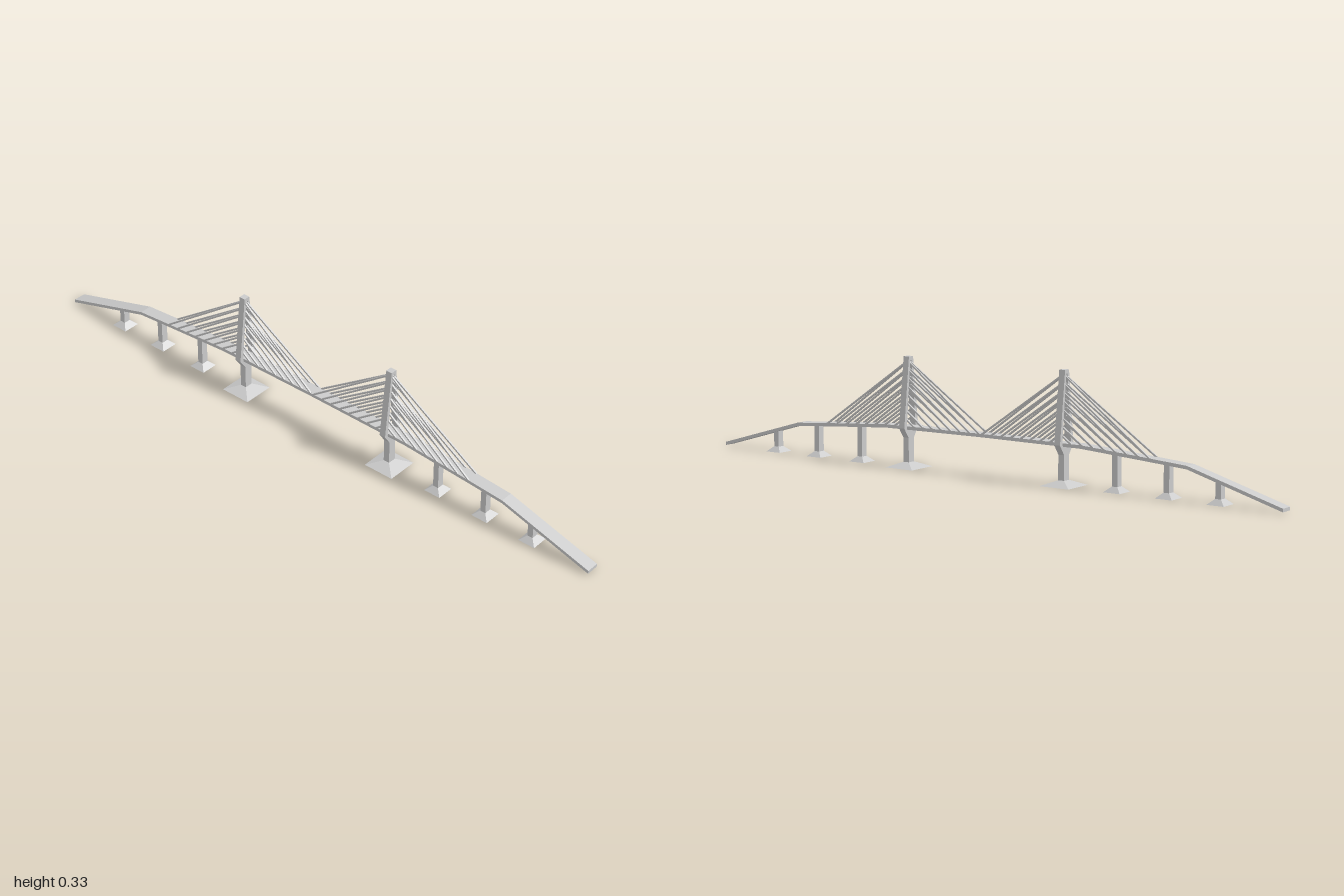
import * as THREE from 'three';

const material = new THREE.MeshStandardMaterial({ color: 0xcccccc, flatShading: true });

const TOWER_Z = 0.28;
const DECK_HALF = 0.02;
const DECK_THICK = 0.01;
// Road surface: [distance from middle, height]
const ROAD = [[0, 0.127], [0.35, 0.125], [0.58, 0.109], [0.70, 0.1], [1, 0.013]];

function roadY(z) {
  const d = Math.abs(z);
  for (let i = 1; i < ROAD.length; i++) {
    const [d0, y0] = ROAD[i - 1], [d1, y1] = ROAD[i];
    if (d <= d1) return y0 + (y1 - y0) * (d - d0) / (d1 - d0);
  }
  return ROAD.at(-1)[1];
}

function add(parent, name, geometry, x = 0, y = 0, z = 0) {
  const mesh = new THREE.Mesh(geometry, material);
  mesh.name = name;
  mesh.position.set(x, y, z);
  parent.add(mesh);
  return mesh;
}

// Box standing on y = 0 whose top face is scaled to its own size
function taperedBox(w, d, h, topW, topD) {
  const g = new THREE.BoxGeometry(w, h, d).translate(0, h / 2, 0);
  const p = g.attributes.position;
  for (let i = 0; i < p.count; i++) {
    if (p.getY(i) > h / 2) p.setXYZ(i, Math.sign(p.getX(i)) * topW / 2, h, Math.sign(p.getZ(i)) * topD / 2);
  }
  g.computeVertexNormals();
  return g;
}

// Square bar between two points
function bar(parent, name, a, b, size) {
  const mesh = add(parent, name, new THREE.BoxGeometry(size, size, a.distanceTo(b)));
  mesh.position.copy(a).lerp(b, 0.5);
  mesh.lookAt(b);
}

function createDeck() {
  const top = [...ROAD.slice(1).reverse().map(([d, y]) => [-d, y]), ...ROAD];
  const outline = [...top, ...top.slice().reverse().map(([z, y]) => [z, y - DECK_THICK])];
  const shape = new THREE.Shape(outline.map(([z, y]) => new THREE.Vector2(z, y)));
  return new THREE.ExtrudeGeometry(shape, { depth: DECK_HALF * 2, bevelEnabled: false })
    .translate(0, 0, -DECK_HALF)
    .rotateY(-Math.PI / 2);
}

// Column on a sloping footing, reaching up to height top
function createPier(name, z, w, d, footing, top) {
  const pier = new THREE.Group();
  pier.name = name;
  pier.position.z = z;
  add(pier, 'footing', taperedBox(footing, footing, 0.016, w, d));
  add(pier, 'column', new THREE.BoxGeometry(w, top - 0.01, d), 0, (top + 0.01) / 2, 0);
  return pier;
}

// A-shaped frame that narrows under the deck onto its column
function createTower() {
  const half = [[0.013, 0.09], [0.034, 0.12], [0.01, 0.334]];
  const pts = [...half, ...half.slice().reverse().map(([x, y]) => [-x, y])];
  const shape = new THREE.Shape(pts.map(([x, y]) => new THREE.Vector2(x, y)));
  const hole = [[0.022, 0.118], [-0.022, 0.118], [-0.003, 0.323], [0.003, 0.323]];
  shape.holes.push(new THREE.Path(hole.map(([x, y]) => new THREE.Vector2(x, y))));
  return new THREE.ExtrudeGeometry(shape, { depth: 0.02, bevelEnabled: false }).translate(0, 0, -0.01);
}

// Parallel stays on both sides of a tower, in both leg planes
function createCables(z) {
  const cables = new THREE.Group();
  cables.name = 'stayCables';
  const count = 8;
  for (const side of [-1, 1]) {
    for (const dir of [-1, 1]) {
      const outward = dir === Math.sign(z);
      const reach = outward ? 0.30 : 0.275;
      for (let i = 1; i <= count; i++) {
        const t = i / count;
        const y = 0.127 + 0.193 * t;
        const endZ = z + dir * reach * t;
        const onTower = new THREE.Vector3(side * (0.021 - 0.018 * t), y, z);
        const onDeck = new THREE.Vector3(side * 0.0185, roadY(endZ) - 0.001, endZ);
        bar(cables, 'cable', onTower, onDeck, 0.005);
      }
    }
  }
  return cables;
}

export function createModel() {
  const bridge = new THREE.Group();
  bridge.name = 'cableStayedBridge';

  add(bridge, 'deck', createDeck());

  for (const s of [-1, 1]) {
    const z = s * TOWER_Z;
    bridge.add(createPier('towerPier', z, 0.026, 0.02, 0.1, 0.1));
    add(bridge, 'tower', createTower(), 0, 0, z);
    bridge.add(createCables(z));

    // Approach piers
    for (const d of [0.46, 0.63, 0.795]) {
      const top = roadY(d) - DECK_THICK + 0.003;
      bridge.add(createPier('approachPier', s * d, 0.022, 0.018, 0.055, top));
    }
  }
  return bridge;
}
